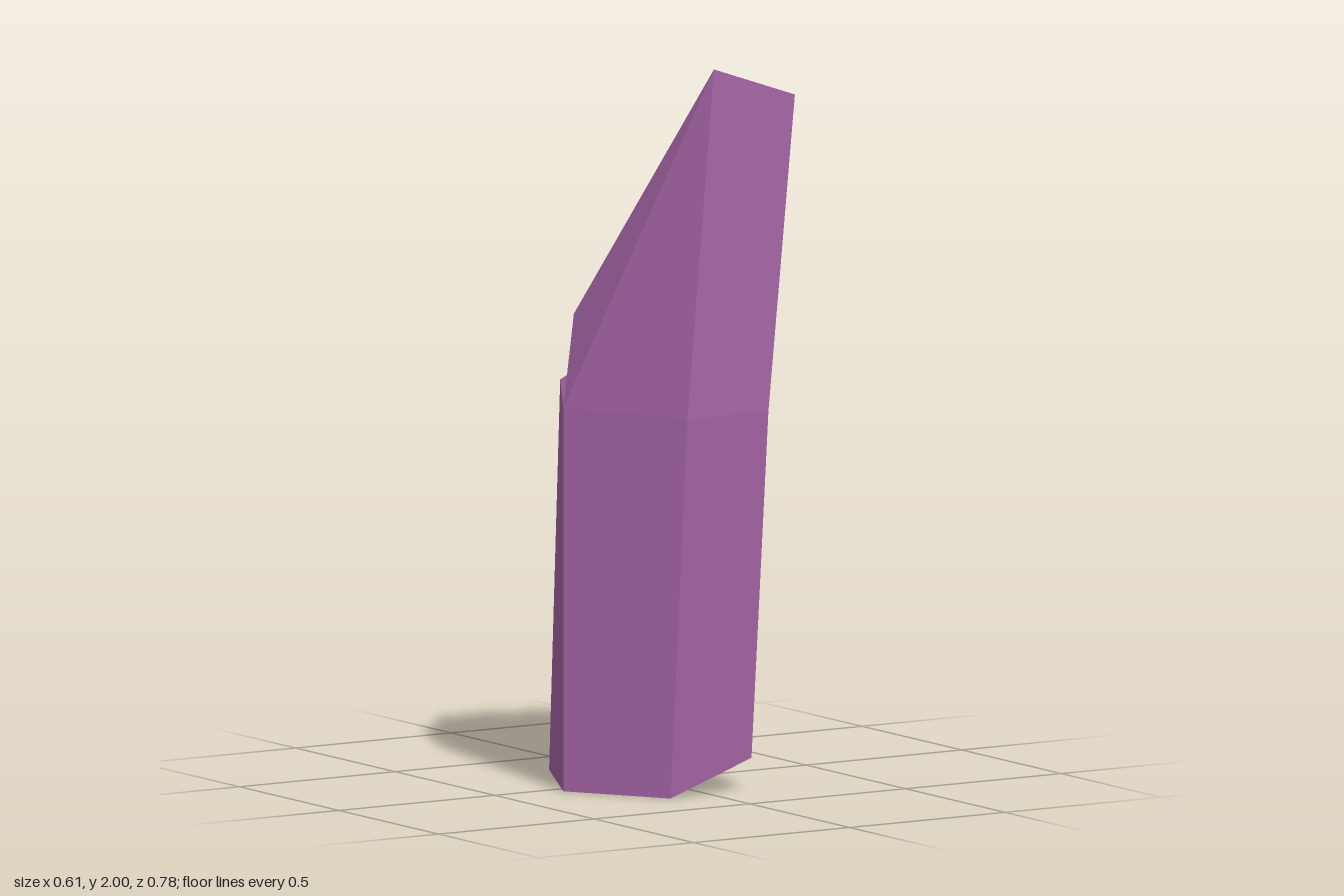
import * as THREE from 'three';

// Cross-sections of the hollow shard, counterclockwise from the front left corner.
const bottomRing = [
  [0.13, 0.09, 0.305], [0.215, 0, -0.04], [0.045, 0, -0.305],
  [-0.13, 0, -0.305], [-0.305, 0, 0.04], [-0.13, 0, 0.305],
];
const middleRing = [
  [0.13, 1.05, 0.39], [0.305, 1.05, 0.04], [0.13, 1.05, -0.39],
  [-0.04, 1.05, -0.39], [-0.305, 1.05, 0.04], [-0.13, 1.05, 0.39],
];
const topRing = [
  [0.215, 1.91, 0.39], [0.305, 1.305, -0.04], [0.13, 1.22, -0.22],
  [-0.04, 1.12, -0.22], [-0.22, 1.29, -0.04], [-0.045, 2, 0.39],
];

// Joins two rings with facets; rising[i] says which way facet i is split.
function band(name, low, high, rising, material) {
  const corners = [];
  low.forEach((a, i) => {
    const j = (i + 1) % low.length;
    const b = low[j], c = high[j], d = high[i];
    corners.push(...(rising[i] ? [a, b, c, a, c, d] : [a, b, d, b, c, d]));
  });
  const geometry = new THREE.BufferGeometry();
  geometry.setAttribute('position', new THREE.Float32BufferAttribute(corners.flat(), 3));
  geometry.computeVertexNormals();
  const mesh = new THREE.Mesh(geometry, material);
  mesh.name = name;
  return mesh;
}

export function createModel() {
  const group = new THREE.Group();
  group.name = 'crystalShard';
  const material = new THREE.MeshStandardMaterial({
    color: 0xa866a8, flatShading: true, side: THREE.DoubleSide,
  });
  // Both ends are open
  group.add(
    band('lowerFacets', bottomRing, middleRing, [1, 0, 1, 1, 1, 1], material),
    band('upperFacets', middleRing, topRing, [0, 1, 0, 0, 1, 1], material),
  );
  return group;
}
